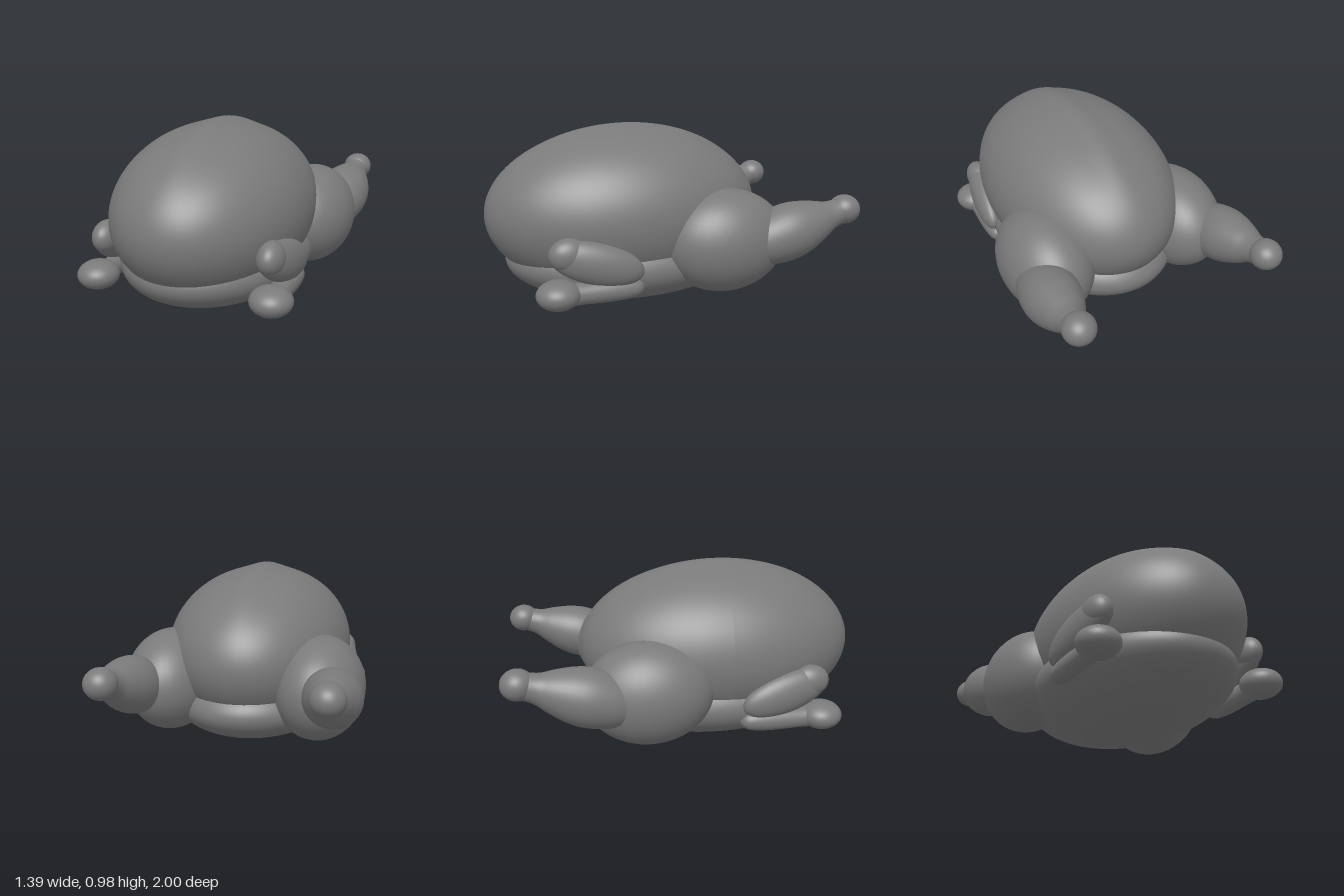
import * as THREE from 'three';

const skin = new THREE.MeshStandardMaterial({ color: 0x7a7a7a });
skin.name = 'plain grey';

function ellipsoid(name, pos, radii, rot = [0, 0, 0], detail = 40) {
  const geo = new THREE.SphereGeometry(1, detail, Math.round(detail * 0.7));
  geo.scale(...radii);
  const mesh = new THREE.Mesh(geo, skin);
  mesh.name = name;
  mesh.position.set(...pos);
  mesh.rotation.set(...rot);
  return mesh;
}

// Smooth round limb from a to b; profile rows are [radius, fraction of length]
function limb(name, a, b, profile) {
  const start = new THREE.Vector3(...a);
  const axis = new THREE.Vector3(...b).sub(start);
  const length = axis.length();
  const curve = new THREE.SplineCurve(profile.map(([r, t]) => new THREE.Vector2(r, t * length)));
  const points = curve.getPoints(40);
  points.forEach((p) => { p.x = Math.max(p.x, 0); });
  const mesh = new THREE.Mesh(new THREE.LatheGeometry(points, 36), skin);
  mesh.name = name;
  mesh.position.copy(start);
  mesh.quaternion.setFromUnitVectors(new THREE.Vector3(0, 1, 0), axis.normalize());
  return mesh;
}

export function createModel() {
  const model = new THREE.Group();
  model.name = 'roastBird';

  // Plump upper body with a soft breast ridge along the top
  const body = ellipsoid('upperBody', [0, 0.5, 0.21], [0.533, 0.462, 0.79], [0, 0, 0], 96);
  const p = body.geometry.attributes.position;
  for (let i = 0; i < p.count; i++) {
    const y = p.getY(i);
    if (y > 0) {
      const ridge = Math.exp(-((p.getX(i) / 0.085) ** 2));
      p.setY(i, y + 0.02 * ridge * (y / 0.462) ** 2);
    }
  }
  body.geometry.computeVertexNormals();
  model.add(body);

  // Flatter belly, making a crease where it meets the upper body
  model.add(ellipsoid('belly', [0, 0.245, 0.17], [0.515, 0.245, 0.725], [0, 0, 0], 72));

  for (const s of [1, -1]) {
    const side = s > 0 ? 'left' : 'right';

    // Leg: round thigh, tapering drumstick and bone knob
    const leg = new THREE.Group();
    leg.name = side + 'Leg';
    leg.add(
      ellipsoid('thigh', [0.42 * s, 0.367, -0.235], [0.255, 0.285, 0.355]),
      limb('drumstick', [0.52 * s, 0.33, -0.28], [0.555 * s, 0.51, -0.91], [
        [0, 0], [0.09, 0.07], [0.138, 0.22], [0.157, 0.42], [0.146, 0.58],
        [0.112, 0.74], [0.08, 0.86], [0.07, 1],
      ]),
      ellipsoid('boneKnob', [0.555 * s, 0.512, -0.912], [0.087, 0.082, 0.088]),
    );
    model.add(leg);

    // Folded wing lying against the body
    const wing = new THREE.Group();
    wing.name = side + 'Wing';
    wing.add(
      ellipsoid('upperWing', [0.485 * s, 0.335, 0.51], [0.075, 0.112, 0.255], [-0.27, -0.13 * s, 0]),
      ellipsoid('wingShoulder', [0.46 * s, 0.39, 0.65], [0.072, 0.088, 0.105]),
      limb('foreWing', [0.48 * s, 0.185, 0.74], [0.49 * s, 0.185, 0.25], [
        [0, 0], [0.052, 0.08], [0.058, 0.35], [0.06, 0.7], [0.045, 0.92], [0, 1],
      ]),
      ellipsoid('wingTip', [0.485 * s, 0.193, 0.715], [0.112, 0.077, 0.115]),
    );
    model.add(wing);
  }
  return model;
}
